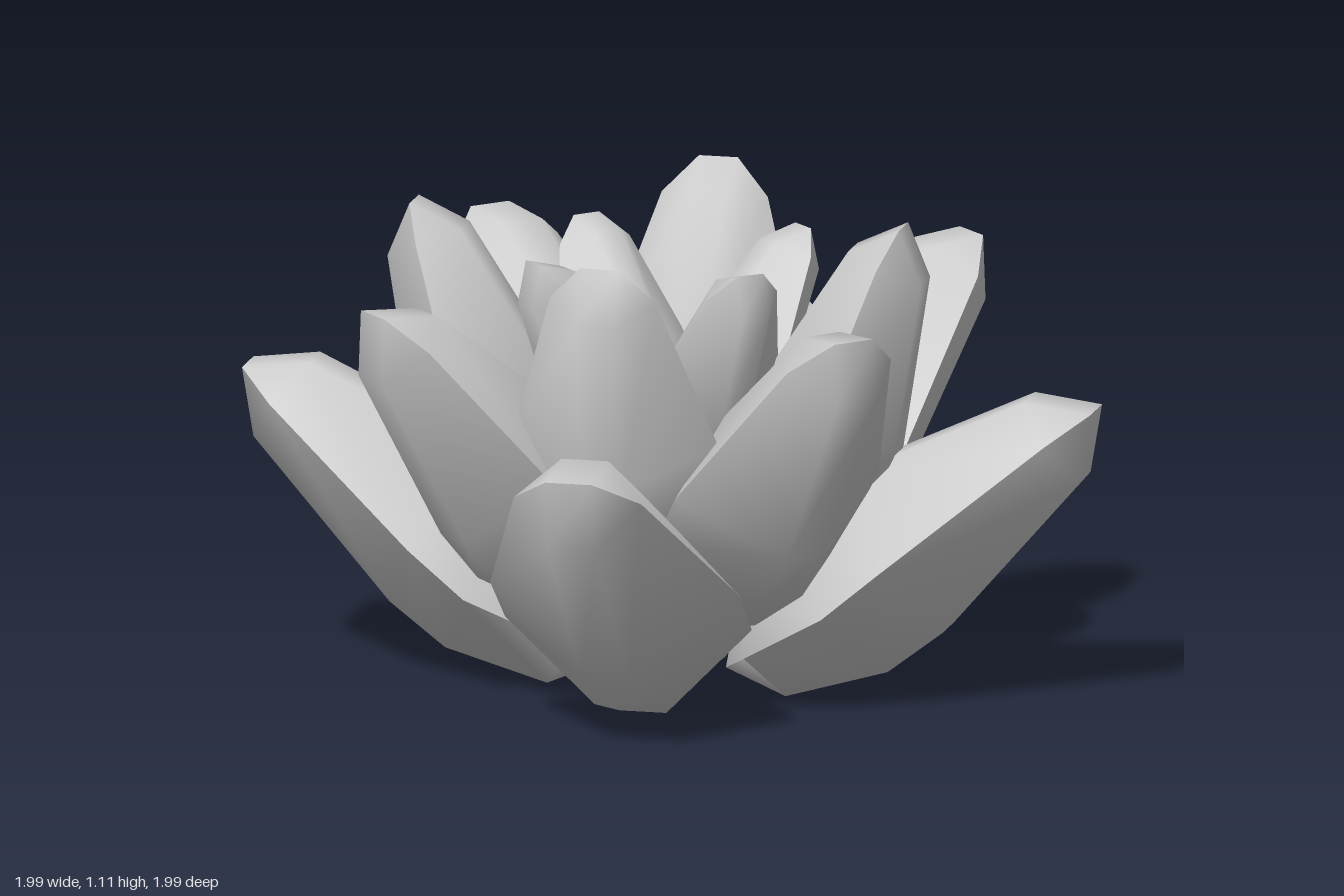
import * as THREE from 'three';
import { toCreasedNormals } from 'three/addons/utils/BufferGeometryUtils.js';

const TIP = [0.997, 0.7]; // petal tip (radius, height); the petal is built relative to it
const RIDGE = 0.055;      // half width of the narrow ridges and of both ends

// Cross-sections from base to tip: outer ridge, side edge, inner ridge as [radius, height], then half width
const SECTIONS = [
  { outer: [0.28, 0.0], side: [0.2, 0.1], inner: [0.17, 0.22], w: 0.13 },
  { outer: [0.52, 0.07], side: [0.42, 0.24], inner: [0.3, 0.43], w: 0.29 },
  { outer: [0.65, 0.17], side: [0.55, 0.35], inner: [0.43, 0.53], w: 0.293 },
  { outer: [0.97, 0.54], side: [0.91, 0.64], inner: [0.84, 0.72], w: 0.15 },
];

// Chubby six-sided petal that closes to a short edge at both ends
function petalGeometry() {
  const positions = [], index = [], rings = [];
  const add = (x, [r, y]) => positions.push(x, y - TIP[1], r - TIP[0]) / 3 - 1;
  const addEnd = (p) => {
    const a = add(-RIDGE, p), b = add(RIDGE, p);
    rings.push([a, b, b, b, a, a]);
  };

  addEnd([0.14, 0.06]);
  for (const { outer, side, inner, w } of SECTIONS) {
    rings.push([
      add(-RIDGE, outer), add(RIDGE, outer), add(w, side),
      add(RIDGE, inner), add(-RIDGE, inner), add(-w, side),
    ]);
  }
  addEnd(TIP);

  const triangle = (a, b, c) => {
    if (a !== b && b !== c && c !== a) index.push(a, b, c);
  };
  for (let k = 0; k < rings.length - 1; k++) {
    for (let i = 0; i < 6; i++) {
      const j = (i + 1) % 6;
      triangle(rings[k][i], rings[k][j], rings[k + 1][j]);
      triangle(rings[k][i], rings[k + 1][j], rings[k + 1][i]);
    }
  }

  const geometry = new THREE.BufferGeometry();
  geometry.setAttribute('position', new THREE.Float32BufferAttribute(positions, 3));
  geometry.setIndex(index);
  return toCreasedNormals(geometry, 1.2);
}

// Four petals around the centre, each raised and scaled about its tip
function petalRing(name, geometry, material, { tip, raise, scale, turn, shift }) {
  const ring = new THREE.Group();
  ring.name = name + 'Ring';
  ring.position.set(shift[0], 0, shift[1]);
  for (let i = 0; i < 4; i++) {
    const pivot = new THREE.Group();
    pivot.name = name;
    pivot.rotation.y = THREE.MathUtils.degToRad(turn + i * 90);
    const petal = new THREE.Mesh(geometry, material);
    petal.name = name + 'Body';
    petal.position.set(0, tip[1], tip[0]);
    petal.rotation.x = -THREE.MathUtils.degToRad(raise);
    petal.scale.setScalar(scale);
    pivot.add(petal);
    ring.add(pivot);
  }
  return ring;
}

export function createModel() {
  const flower = new THREE.Group();
  flower.name = 'flower';
  const material = new THREE.MeshStandardMaterial({ color: 0xcccccc });
  const geometry = petalGeometry();

  const rings = {
    outerPetal: { tip: TIP, raise: 0, scale: 1, turn: 0, shift: [0, 0] },
    middlePetal: { tip: [0.8, 0.965], raise: 12, scale: 0.93, turn: 45, shift: [0, 0] },
    innerPetal: { tip: [0.575, 1.11], raise: 32, scale: 0.83, turn: 0, shift: [-0.025, 0.025] },
    heartPetal: { tip: [0.36, 1.035], raise: 22, scale: 0.62, turn: 45, shift: [-0.005, 0.015] },
  };
  for (const [name, options] of Object.entries(rings)) {
    flower.add(petalRing(name, geometry, material, options));
  }
  return flower;
}
